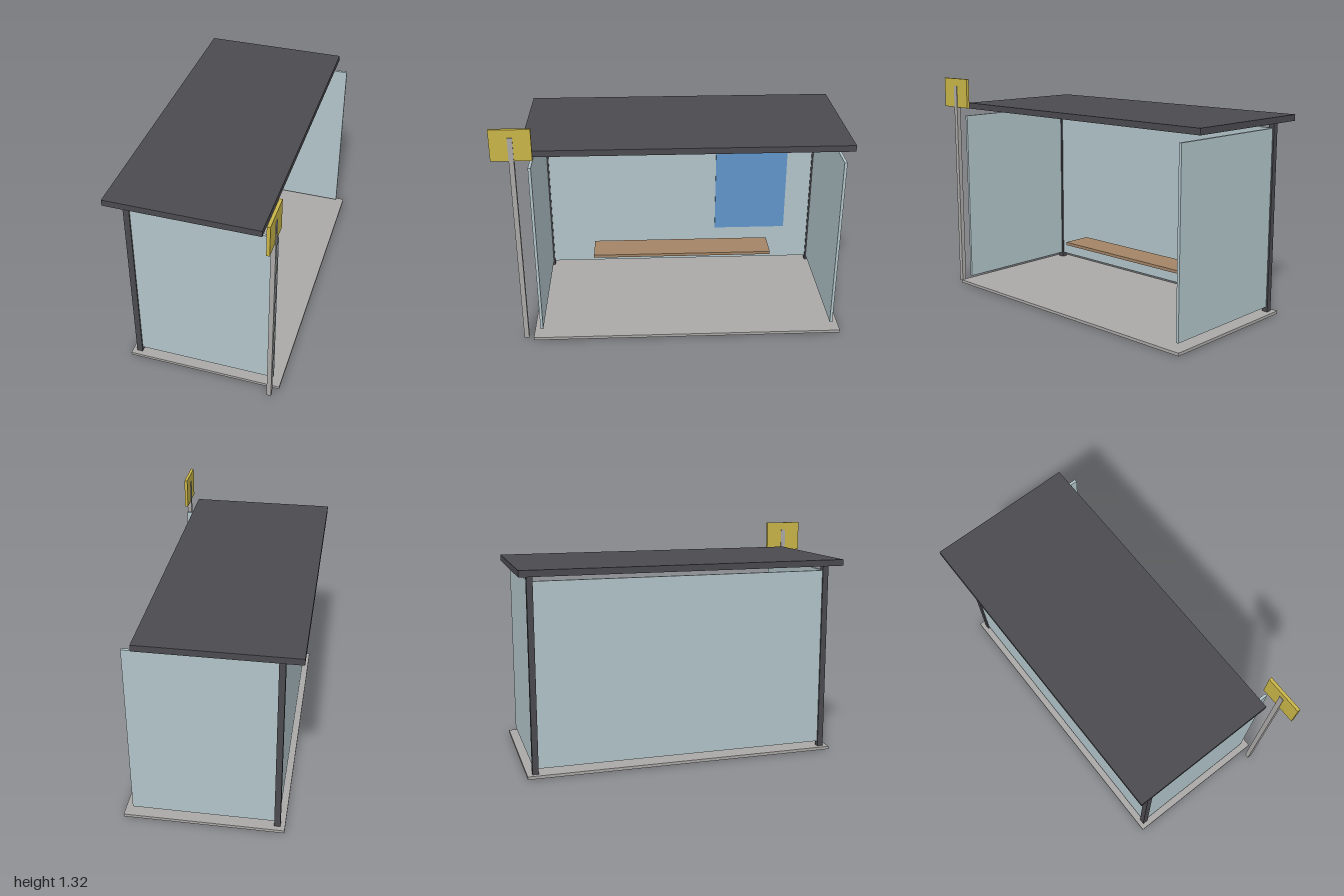
import * as THREE from 'three';

const mat = (name, color) => {
  const m = new THREE.MeshStandardMaterial({ color });
  m.name = name;
  return m;
};

export function createModel() {
  const frame = mat('dark frame', 0x4b4a4f);
  const glass = mat('pale glass', 0xb1c4c9);
  const concrete = mat('light grey', 0xaba9a7);
  const wood = mat('bench wood', 0xa38467);
  const blue = mat('poster blue', 0x5f94c9);
  const yellow = mat('sign yellow', 0xc9b548);

  const group = new THREE.Group();
  group.name = 'busShelter';

  // Box given by its extents along each axis
  const box = (name, material, [x0, x1], [y0, y1], [z0, z1]) => {
    const mesh = new THREE.Mesh(new THREE.BoxGeometry(x1 - x0, y1 - y0, z1 - z0), material);
    mesh.position.set((x0 + x1) / 2, (y0 + y1) / 2, (z0 + z1) / 2);
    mesh.name = name;
    group.add(mesh);
  };

  // Floor and roof slabs
  box('floorSlab', concrete, [-0.42, 0.486], [0.003, 0.02], [-0.978, 0.842]);
  box('roof', frame, [-0.489, 0.373], [1.128, 1.164], [-1, 0.859]);

  // Rear posts with the side panels that run out from them
  for (const [end, z] of [['front', 0.797], ['back', -0.931]]) {
    box(end + 'Post', frame, [-0.394, -0.36], [0, 1.13], [z - 0.017, z + 0.017]);
    box(end + 'SidePanel', glass, [-0.36, 0.441], [0.049, 1.092], [z - 0.008, z + 0.008]);
  }

  // Long panel, poster and bench
  box('longPanel', glass, [-0.385, -0.369], [0.049, 1.092], [-0.914, 0.78]);
  box('poster', blue, [-0.369, -0.361], [0.28, 0.912], [-0.755, -0.295]);
  box('bench', wood, [-0.325, -0.133], [0.198, 0.217], [-0.636, 0.503]);

  // Stop sign on its pole
  box('signPole', concrete, [0.428, 0.454], [0, 1.273], [0.873, 0.901]);
  box('signPlate', yellow, [0.432, 0.45], [1.14, 1.32], [0.775, 1]);

  return group;
}
